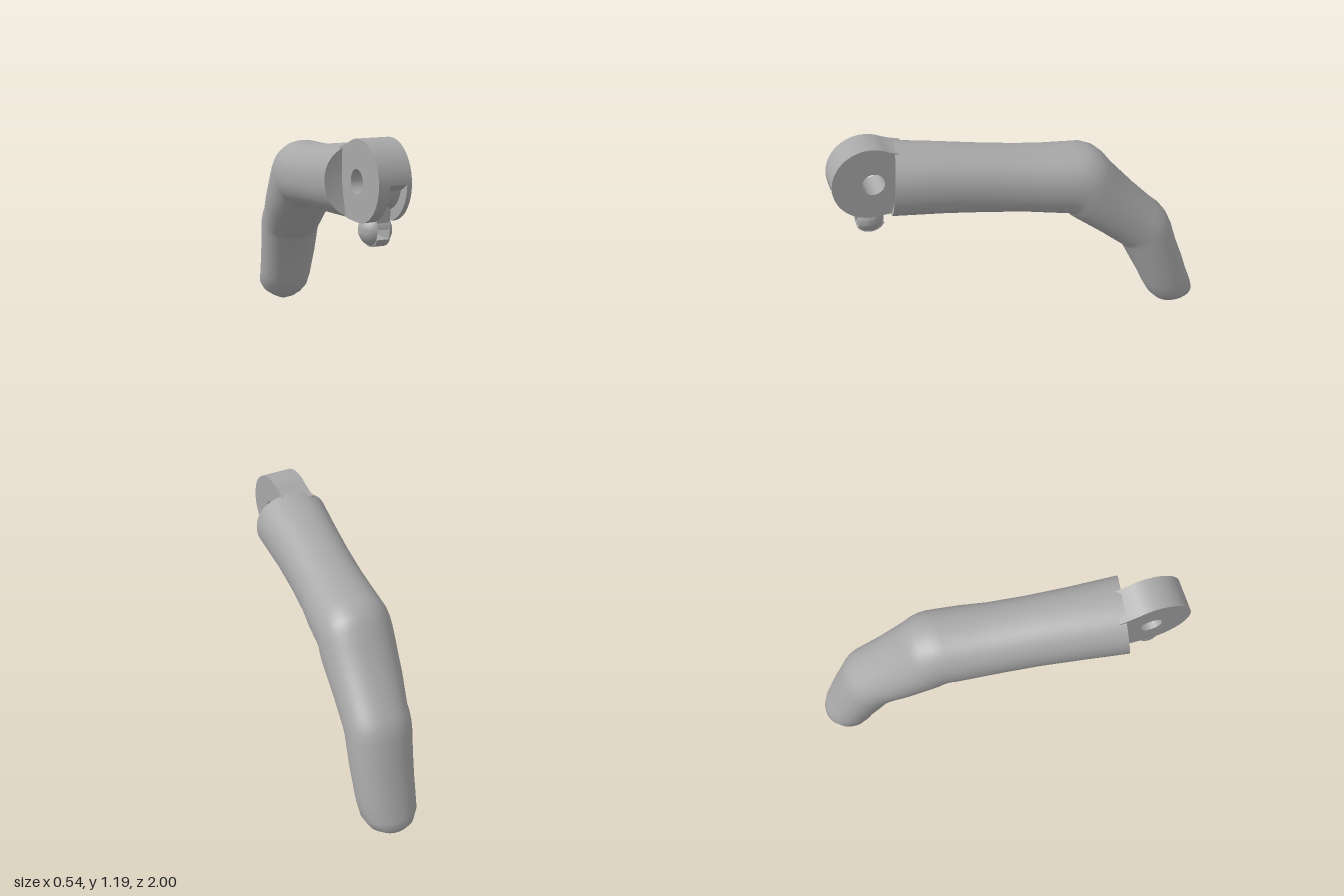
import * as THREE from 'three';
import { toCreasedNormals } from 'three/addons/utils/BufferGeometryUtils.js';

const grey = new THREE.MeshStandardMaterial({ color: 0xa8a8a8 });
grey.name = 'plain grey';

function part(name, geometry, crease = 0.6) {
  const mesh = new THREE.Mesh(toCreasedNormals(geometry, crease), grey);
  mesh.name = name;
  return mesh;
}

// Closed loft through oval sections: [top z, top y, bottom z, bottom y, min x, max x]
function loft(sections, sides, tilt, dish) {
  const pos = [], idx = [];
  const soft = (v) => Math.sign(v) * Math.abs(v) ** 0.92;
  sections.forEach(([zt, yt, zb, yb, x0, x1], i) => {
    for (let j = 0; j < sides; j++) {
      const a = (j / sides) * Math.PI * 2;
      const c = soft(Math.cos(a)) / 2, s = soft(Math.sin(a)) / 2;
      const z = (zt + zb) / 2 + (zt - zb) * c + (i === 0 ? tilt * s : 0);
      pos.push((x0 + x1) / 2 + (x1 - x0) * s, (yt + yb) / 2 + (yt - yb) * c, z);
    }
  });
  const n = sections.length;
  for (let i = 0; i < n - 1; i++) {
    for (let j = 0; j < sides; j++) {
      const k = (j + 1) % sides;
      const a = i * sides + j, b = i * sides + k;
      idx.push(a, b, a + sides, b, b + sides, a + sides);
    }
  }
  // End caps: hollowed at the front, closed at the tip
  [0, n - 1].forEach((i) => {
    const [zt, yt, zb, yb, x0, x1] = sections[i];
    const centre = pos.length / 3;
    pos.push((x0 + x1) / 2, (yt + yb) / 2 - (i ? 0.008 : 0), (zt + zb) / 2 - (i ? 0 : dish));
    for (let j = 0; j < sides; j++) {
      const a = i * sides + j, b = i * sides + ((j + 1) % sides);
      if (i === 0) idx.push(centre, b, a);
      else idx.push(centre, a, b);
    }
  });
  const g = new THREE.BufferGeometry();
  g.setAttribute('position', new THREE.Float32BufferAttribute(pos, 3));
  g.setIndex(idx);
  return g;
}

// Side-profile shape (horizontal axis = -z) extruded across x
function plate(shape, x0, x1) {
  const g = new THREE.ExtrudeGeometry(shape, { depth: x1 - x0, bevelEnabled: false, curveSegments: 40 });
  return g.rotateY(Math.PI / 2).translate(x0, 0, 0);
}

// Hinge disc outline with a tail into the finger, optionally grooved at the lower front
function discShape(grooved) {
  const s = new THREE.Shape();
  s.moveTo(0.2, 0.82);
  s.lineTo(0.1, 0.803);
  if (grooved) {
    s.absarc(0, 1, 0.2, -Math.PI / 2, -1.8, true);
    s.absarc(0, 1, 0.145, -1.9, -2.9, true);
    s.absarc(0, 1, 0.2, -Math.PI, Math.PI / 3, true);
  } else {
    s.absarc(0, 1, 0.2, -Math.PI / 2, Math.PI / 3, true);
  }
  s.lineTo(0.14, 1.158);
  s.lineTo(0.2, 1.14);
  s.closePath();
  const hole = new THREE.Path();
  hole.absarc(0.015, 0.995, 0.06, 0, Math.PI * 2, false);
  s.holes.push(hole);
  return s;
}

// Circle segment for the core of the ball
function segment(r, from, to) {
  const s = new THREE.Shape();
  s.absarc(0, 0, r, from, to, false);
  s.closePath();
  return s;
}

// Solid spherical cap facing +x or -x
function ballCap(r, cut, side) {
  const pts = [new THREE.Vector2(0, cut)];
  const start = Math.asin(cut / r);
  for (let i = 0; i <= 10; i++) {
    const a = start + (Math.PI / 2 - start) * (i / 10);
    pts.push(new THREE.Vector2(Math.max(0, r * Math.cos(a)), r * Math.sin(a)));
  }
  return new THREE.LatheGeometry(pts, 32).rotateZ((-side * Math.PI) / 2);
}

export function createModel() {
  const model = new THREE.Group();
  model.name = 'jointedFinger';

  // Bent finger: long base, two knuckles, rounded tip
  model.add(part('finger', loft([
    [0.65, 1.16, 0.695, 0.79, -0.27, 0.14],
    [0.42, 1.135, 0.42, 0.765, -0.235, 0.15],
    [0.2, 1.105, 0.2, 0.745, -0.205, 0.167],
    [0, 1.08, 0, 0.725, -0.185, 0.19],
    [-0.15, 1.068, -0.12, 0.71, -0.175, 0.215],
    [-0.28, 1.063, -0.232, 0.692, -0.165, 0.23],
    // first knuckle
    [-0.35, 1.06, -0.24, 0.688, -0.16, 0.235],
    [-0.41, 1.035, -0.245, 0.684, -0.157, 0.24],
    [-0.46, 0.99, -0.25, 0.678, -0.153, 0.243],
    [-0.5, 0.935, -0.26, 0.67, -0.15, 0.245],
    [-0.64, 0.78, -0.42, 0.55, -0.12, 0.25],
    [-0.74, 0.68, -0.54, 0.455, -0.09, 0.258],
    // second knuckle
    [-0.785, 0.64, -0.555, 0.445, -0.087, 0.261],
    [-0.815, 0.6, -0.56, 0.438, -0.084, 0.263],
    [-0.84, 0.545, -0.566, 0.43, -0.08, 0.265],
    [-0.875, 0.43, -0.625, 0.31, -0.065, 0.27],
    [-0.92, 0.31, -0.68, 0.2, -0.05, 0.27],
    // fingertip
    [-0.95, 0.22, -0.7, 0.15, -0.045, 0.268],
    [-0.985, 0.13, -0.735, 0.085, -0.035, 0.26],
    [-0.998, 0.085, -0.77, 0.045, -0.005, 0.235],
    [-0.985, 0.06, -0.8, 0.022, 0.03, 0.2],
    [-0.93, 0.025, -0.84, 0.007, 0.075, 0.15],
  ], 56, 0.05, 0.045), 0.9));

  // Hinge disc in three layers, the middle one carrying the cord groove
  const hinge = new THREE.Group();
  hinge.name = 'hinge';
  hinge.position.set(-0.078, 0, 0.8);
  hinge.rotation.y = 0.045;
  hinge.add(part('hingeDiscRight', plate(discShape(false), -0.087, -0.03)));
  hinge.add(part('hingeDiscGroove', plate(discShape(true), -0.03, 0.062)));
  hinge.add(part('hingeDiscLeft', plate(discShape(false), 0.062, 0.087)));

  // Slotted ball under the disc
  const ball = new THREE.Group();
  ball.name = 'cordBall';
  ball.position.set(0, 0.762, 0.01);
  const r = 0.082;
  ball.add(part('ballLeft', ballCap(r, 0.04, 1)));
  ball.add(part('ballRight', ballCap(r, 0.03, -1)));
  ball.add(part('ballTop', plate(segment(r, 0.16, Math.PI - 0.16), -0.03, 0.04)));
  ball.add(part('ballBottom', plate(segment(r, Math.PI + 0.468, Math.PI * 2 - 0.468), -0.03, 0.04)));
  hinge.add(ball);

  // Block linking ball and groove
  hinge.add(part('cordBlock', new THREE.BoxGeometry(0.07, 0.08, 0.08).translate(0.005, 0.84, 0.04)));
  model.add(hinge);
  return model;
}
